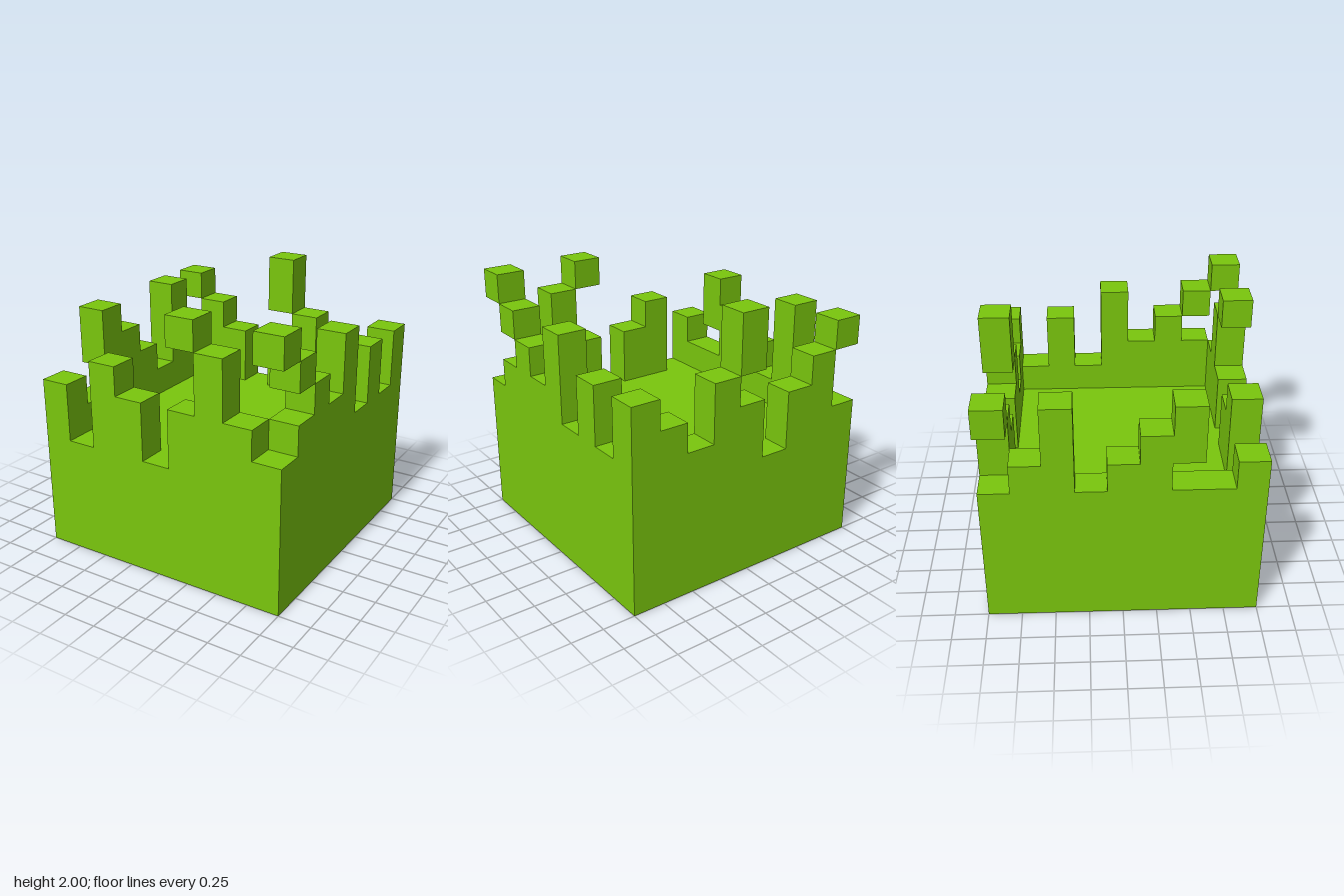
import * as THREE from 'three';
import { mergeGeometries } from 'three/addons/utils/BufferGeometryUtils.js';

const N = 9;            // blocks along each side
const CELL = 2 / N;     // block size
const FLOOR = 4;        // height of the solid base, in blocks

// Wall heights in blocks: front and back run from -x to +x, sides from front to back
const FRONT = [6, 4, 7, 6, 4, 6, 8, 6, 5];
const BACK = [5, 7, 6, 4, 6, 7, 5, 6, 7];
const LEFT = [5, 6, 7, 6, 8, 5, 7, 5, 7];   // +x side
const RIGHT = [6, 5, 5, 7, 6, 5, 8, 6, 5];  // -x side

// Loose blocks hovering over the walls: column, row from the front, first and last layer
const FLOATING = [
  [5, 0, 8, 8], [8, 0, 8, 8], [8, 1, 7, 7],
  [0, 2, 6, 7], [0, 8, 7, 7], [4, 8, 7, 8],
];

// Outward directions of the six block faces
const DIRECTIONS = [
  [1, 0, 0], [-1, 0, 0], [0, 1, 0], [0, -1, 0], [0, 0, 1], [0, 0, -1],
].map((d) => new THREE.Vector3(...d));

const key = (i, y, k) => `${i},${y},${k}`;

// Blocks of one column, from layer a up to and including layer b
function column(i, k, a, b) {
  const cells = [];
  for (let y = a; y <= b; y++) cells.push([i, y, k]);
  return cells;
}

// Geometry of a set of blocks, keeping only faces not covered by a neighbour
function blockGeometry(cells, filled) {
  const faces = [];
  for (const [i, y, k] of cells) {
    const centre = new THREE.Vector3(i - 4, y + 0.5, 4 - k).multiplyScalar(CELL);
    for (const d of DIRECTIONS) {
      if (filled.has(key(i + d.x, y + d.y, k - d.z))) continue;
      const turn = new THREE.Quaternion().setFromUnitVectors(new THREE.Vector3(0, 0, 1), d);
      const face = new THREE.PlaneGeometry(CELL, CELL).applyQuaternion(turn);
      const at = centre.clone().addScaledVector(d, CELL / 2);
      faces.push(face.translate(at.x, at.y, at.z));
    }
  }
  return mergeGeometries(faces);
}

export function createModel() {
  const group = new THREE.Group();
  group.name = 'blockEnclosure';
  const green = new THREE.MeshStandardMaterial({ color: 0x7ac60d });
  green.name = 'grassGreen';

  const parts = { base: [], frontWall: [], backWall: [], leftWall: [], rightWall: [], floatingBlocks: [] };

  // Solid base
  for (let i = 0; i < N; i++)
    for (let k = 0; k < N; k++) parts.base.push(...column(i, k, 0, FLOOR - 1));

  // Ragged walls; the front and back ones own the corners
  for (let n = 0; n < N; n++) {
    parts.frontWall.push(...column(n, 0, FLOOR, FRONT[n] - 1));
    parts.backWall.push(...column(n, N - 1, FLOOR, BACK[n] - 1));
    if (n === 0 || n === N - 1) continue;
    parts.leftWall.push(...column(N - 1, n, FLOOR, LEFT[n] - 1));
    parts.rightWall.push(...column(0, n, FLOOR, RIGHT[n] - 1));
  }

  // Loose blocks
  for (const f of FLOATING) parts.floatingBlocks.push(...column(...f));

  const filled = new Set(Object.values(parts).flat().map((c) => key(...c)));
  for (const [name, cells] of Object.entries(parts)) {
    const mesh = new THREE.Mesh(blockGeometry(cells, filled), green);
    mesh.name = name;
    group.add(mesh);
  }
  return group;
}
